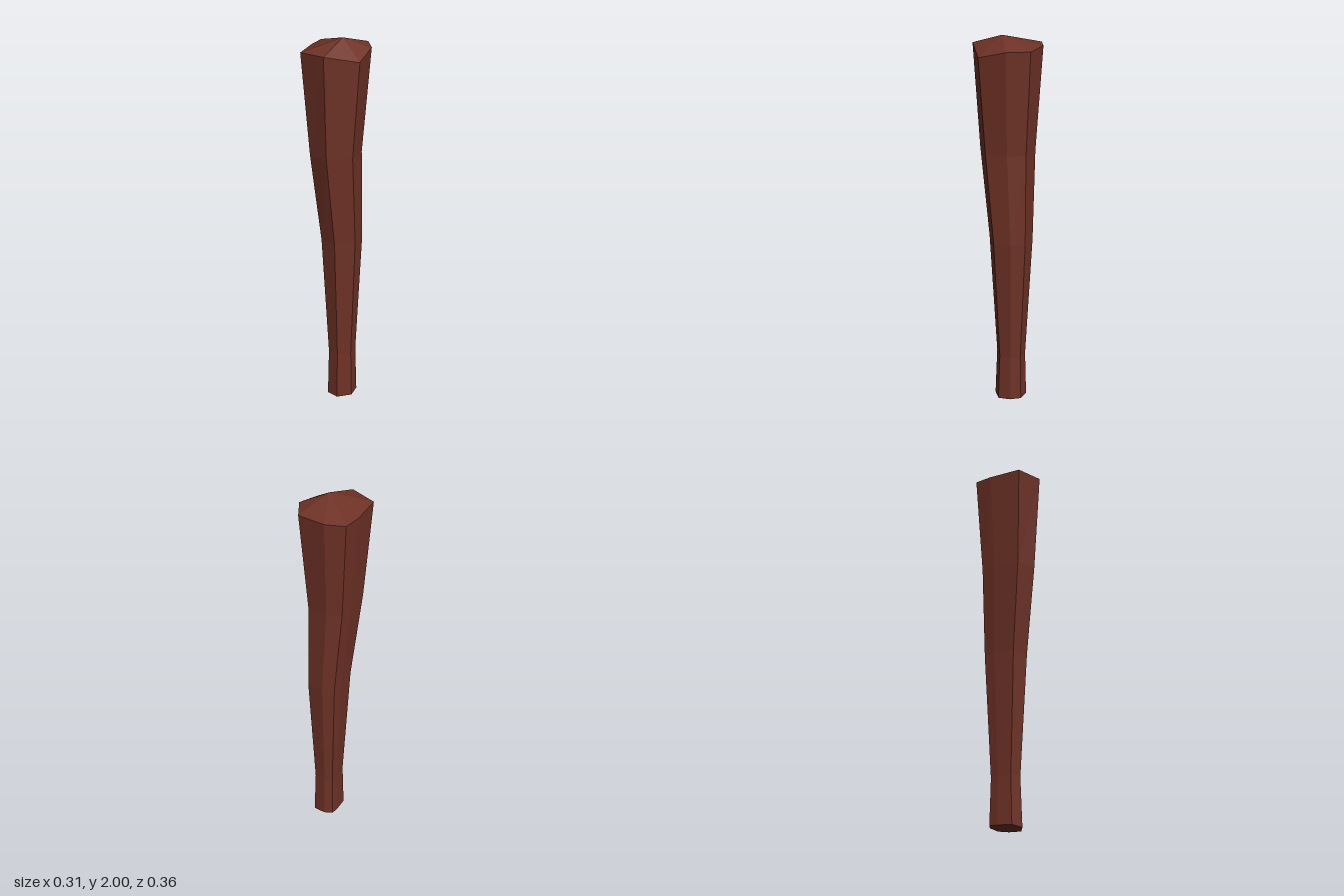
import * as THREE from 'three';

// Irregular eight-sided cross-section at the head: x, z and rim height
const RIM = [
  [-0.042, -0.183, 1.945], [0.103, -0.163, 1.945], [0.155, -0.053, 1.945], [0.14, 0.095, 1.905],
  [-0.018, 0.18, 1.94], [-0.157, 0.122, 1.937], [-0.157, -0.05, 1.937], [-0.14, -0.145, 1.94],
];
// Bounds of the section at each level below the head
const LEVELS = [
  { y: 0.008, x: [-0.052, 0.085], z: [-0.117, 0.055], tilt: 0.08 },
  { y: 0.26, x: [-0.048, 0.078], z: [-0.11, 0.045], tilt: 0 },
  { y: 0.92, x: [-0.077, 0.11], z: [-0.145, 0.086], tilt: 0 },
  { y: 1.4, x: [-0.12, 0.11], z: [-0.148, 0.143], tilt: 0 },
];

// Fits the rim outline into a level's bounds
function ringAt({ y, x, z, tilt }) {
  return RIM.map(([px, pz]) => {
    const u = (px + 0.157) / 0.312, v = (pz + 0.183) / 0.363;
    return [
      THREE.MathUtils.lerp(x[0], x[1], u),
      y + tilt * 2 * (0.5 - v) * 0.1,
      THREE.MathUtils.lerp(z[0], z[1], v),
    ];
  });
}

function clubGeometry() {
  const rings = LEVELS.map(ringAt);
  rings.push(RIM.map(([x, z, y]) => [x, y, z]));
  const peak = [0.025, 2, 0.01];
  const foot = [0.015, 0.008, -0.03];
  const top = rings[rings.length - 1];
  const positions = [];
  const tri = (a, b, c) => positions.push(...a, ...b, ...c);

  for (let i = 0; i < RIM.length; i++) {
    const j = (i + 1) % RIM.length;
    // Tapering sides
    for (let k = 0; k < rings.length - 1; k++) {
      const lo = rings[k], hi = rings[k + 1];
      tri(lo[j], lo[i], hi[i]);
      tri(lo[j], hi[i], hi[j]);
    }
    // Pointed top and flat foot
    tri(peak, top[j], top[i]);
    tri(foot, rings[0][i], rings[0][j]);
  }
  const geometry = new THREE.BufferGeometry();
  geometry.setAttribute('position', new THREE.Float32BufferAttribute(positions, 3));
  geometry.computeVertexNormals();
  return geometry;
}

export function createModel() {
  const group = new THREE.Group();
  group.name = 'woodenClub';
  const wood = new THREE.MeshStandardMaterial({ color: 0x6f3226, flatShading: true });
  const club = new THREE.Mesh(clubGeometry(), wood);
  club.name = 'clubShaft';
  group.add(club);
  return group;
}
